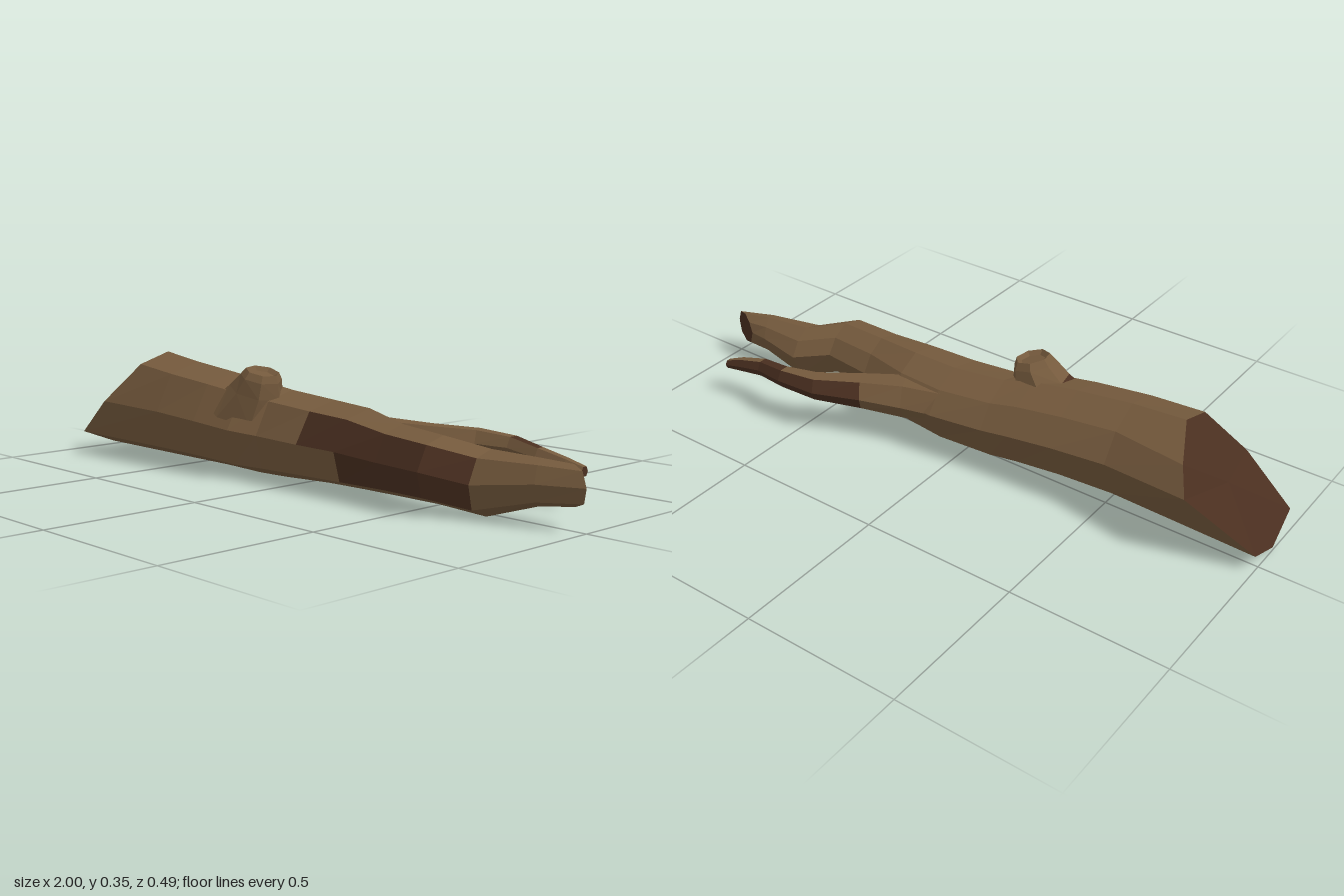
import * as THREE from 'three';

const BARK = new THREE.MeshStandardMaterial({ color: 0x755a3d, flatShading: true });
const DARK = new THREE.MeshStandardMaterial({ color: 0x4a2f20, flatShading: true });

// Unit outlines as [z, y], going from +z over the top
const LOG = [[1, .05], [.62, .8], [-.1, 1], [-.65, .68], [-1, .15], [-.62, -.72], [.1, -1], [.82, -.72]];
const polygon = (n) => Array.from({ length: n }, (_, i) => {
  const a = (i / n) * Math.PI * 2;
  return [Math.cos(a), Math.sin(a)];
});

// Cross-section at x, filling y0..y1 and z0..z1; shear slants it along x
function ring(outline, [x, y0, y1, z0, z1, shear = 0]) {
  return outline.map(([u, v]) => new THREE.Vector3(
    x + shear * u, (y0 + y1) / 2 + v * (y1 - y0) / 2, (z0 + z1) / 2 + u * (z1 - z0) / 2));
}

function centre(points) {
  return points.reduce((s, p) => s.add(p), new THREE.Vector3()).divideScalar(points.length);
}

// Skin the rings and close both ends; isDark(segment, side) picks the darker wood
// (segment -1 is the first end, rings.length - 1 the last end)
function loft(name, rings, isDark) {
  const bark = [], dark = [], n = rings[0].length, last = rings.length - 1;
  const c0 = centre(rings[0]), c1 = centre(rings[last]);
  for (let k = 0; k < n; k++) {
    const m = (k + 1) % n;
    for (let i = 0; i < last; i++) {
      const a = rings[i][k], b = rings[i][m], c = rings[i + 1][m], d = rings[i + 1][k];
      (isDark(i, k) ? dark : bark).push(a, d, c, a, c, b);
    }
    (isDark(-1, k) ? dark : bark).push(c0, rings[0][k], rings[0][m]);
    (isDark(last, k) ? dark : bark).push(c1, rings[last][m], rings[last][k]);
  }
  const group = new THREE.Group();
  group.name = name;
  for (const [label, points, material] of [['Bark', bark, BARK], ['DarkWood', dark, DARK]]) {
    if (!points.length) continue;
    const geometry = new THREE.BufferGeometry().setFromPoints(points);
    geometry.computeVertexNormals();
    const mesh = new THREE.Mesh(geometry, material);
    mesh.name = name + label;
    group.add(mesh);
  }
  return group;
}

export function createModel() {
  const model = new THREE.Group();
  model.name = 'fallenLog';

  // Trunk: slanted broken end, then sections along to the main fork tip
  const brokenEnd = [
    [-.82, .19, .245], [-.71, .32, .17], [-.71, .355, .055], [-.77, .295, -.065],
    [-.81, .225, -.118], [-1, .06, -.03], [-1, .015, .09], [-.985, .065, .222],
  ].map((p) => new THREE.Vector3(...p));
  const trunkSections = [
    [-.53, .017, .335, -.077, .238],
    [-.35, .015, .315, -.085, .23],
    [-.2, .008, .295, -.095, .215],
    [-.11, .004, .277, -.1, .175],
    [.07, .01, .262, -.12, .172],
    [.23, .015, .254, -.1, .17],
    [.4, .025, .23, -.035, .172],
    [.57, .03, .22, -.012, .182],
    [.69, .004, .19, -.062, .108],
    [.85, .055, .184, -.05, .055, .02],
    [.945, .065, .177, -.045, .005, .055],
  ];
  const trunkRings = [brokenEnd, ...trunkSections.map((s) => ring(LOG, s))];
  model.add(loft('trunk', trunkRings, (i, k) =>
    i === -1 || i === trunkRings.length - 1 ||
    (i >= 5 && i <= 8 && k === 0) || (i >= 6 && i <= 8 && k === 7) || (i === 0 && k === 5)));

  // Side branch forking off the back
  const branchSections = [
    [.02, .08, .225, -.1, .04],
    [.2, .085, .218, -.137, -.01, .03],
    [.33, .098, .208, -.18, -.085, .03],
    [.46, .115, .2, -.243, -.16, .02],
    [.58, .12, .19, -.248, -.185],
    [.69, .112, .172, -.226, -.175],
    [.78, .102, .15, -.23, -.188],
    [.83, .1, .132, -.235, -.205],
  ];
  model.add(loft('sideBranch', branchSections.map((s) => ring(polygon(6), s)), (i, k) =>
    i >= 7 || (i >= 2 && (k === 3 || k === 2)) || (i === 4 && k === 1)));

  // Knot: short sawn stub leaning off the top, with a sunken face
  const knotSections = [
    [-.02, -.085, .2, -.12, .11],
    [.07, -.075, .11, -.085, .08],
    [.12, -.062, .068, -.068, .068],
    [.142, -.05, .055, -.054, .054],
    [.13, -.036, .04, -.038, .038],
  ];
  const knot = loft('knot', knotSections.map((s) => ring(polygon(7), s)), (i, k) =>
    i === 0 && (k === 2 || k === 1));
  knot.position.set(-.19, .2, .105);
  knot.rotation.z = 1.32;
  model.add(knot);

  return model;
}
